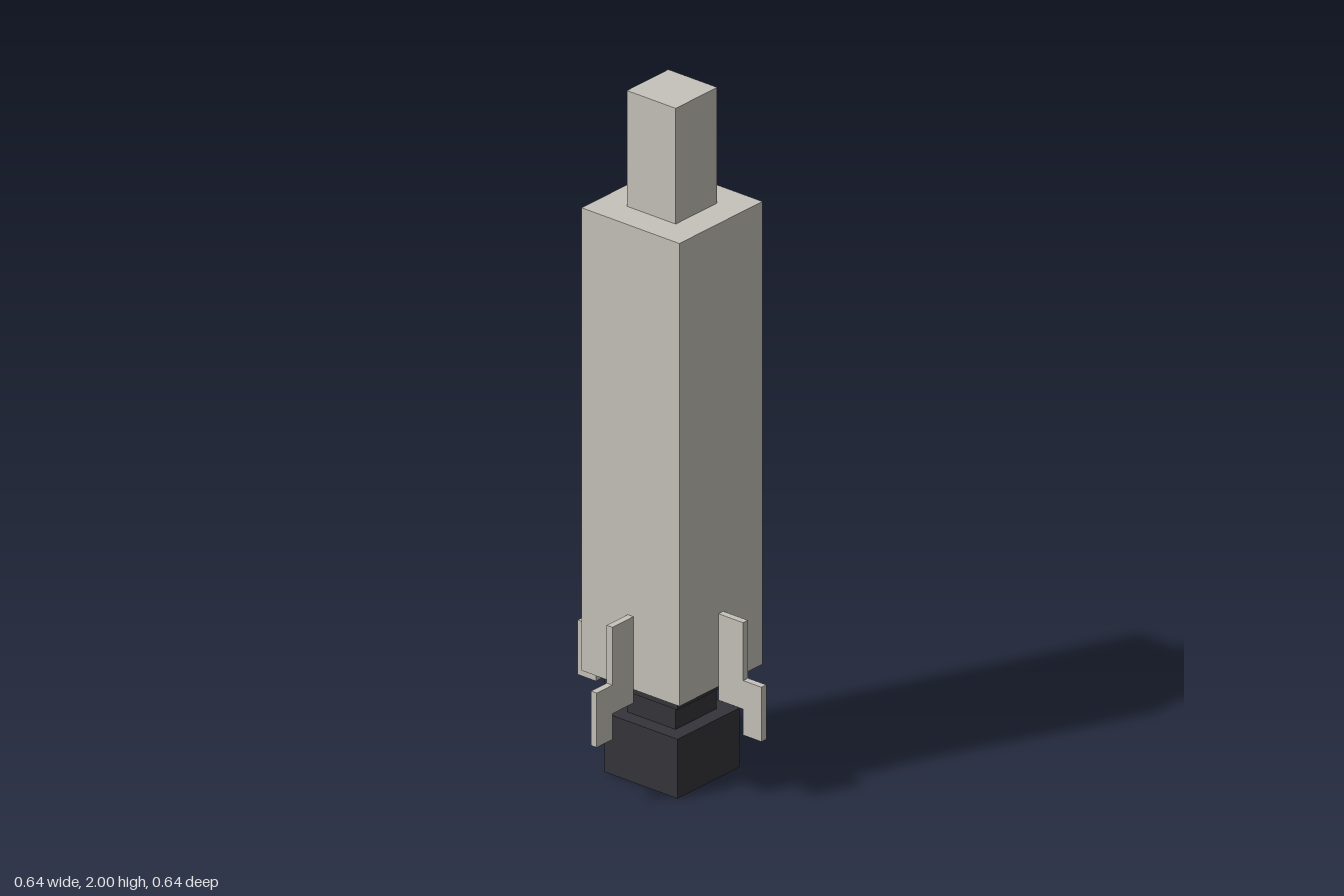
import * as THREE from 'three';

export function createModel() {
  const model = new THREE.Group();
  model.name = 'rocket';

  const hull = new THREE.MeshStandardMaterial({ color: 0xc5c2ba });
  hull.name = 'warm grey hull';
  const dark = new THREE.MeshStandardMaterial({ color: 0x35343b });
  dark.name = 'dark engine';

  // Square block between two heights, centred on the axis
  function block(name, width, bottom, top, material) {
    const mesh = new THREE.Mesh(new THREE.BoxGeometry(width, top - bottom, width), material);
    mesh.name = name;
    mesh.position.y = (bottom + top) / 2;
    model.add(mesh);
  }

  // Hull and nose
  block('body', 0.34, 0.3, 1.66, hull);
  block('nose', 0.17, 1.66, 2, hull);

  // Engine
  block('enginePlate', 0.254, 0.26, 0.3, dark);
  block('engineNeck', 0.168, 0.174, 0.26, dark);
  block('engineNozzle', 0.254, 0, 0.174, dark);

  // Four stepped fins, one on each side
  const outline = [
    [0.17, 0.26], [0.256, 0.26], [0.256, 0.184], [0.32, 0.184],
    [0.32, 0.344], [0.256, 0.344], [0.256, 0.514], [0.17, 0.514],
  ].map(([x, y]) => new THREE.Vector2(x, y));
  const thickness = 0.02;
  const finGeometry = new THREE.ExtrudeGeometry(new THREE.Shape(outline), {
    depth: thickness,
    bevelEnabled: false,
  });
  finGeometry.translate(0, 0, -thickness / 2);
  ['leftFin', 'backFin', 'rightFin', 'frontFin'].forEach((name, i) => {
    const fin = new THREE.Mesh(finGeometry, hull);
    fin.name = name;
    fin.rotation.y = (i * Math.PI) / 2;
    model.add(fin);
  });

  return model;
}
